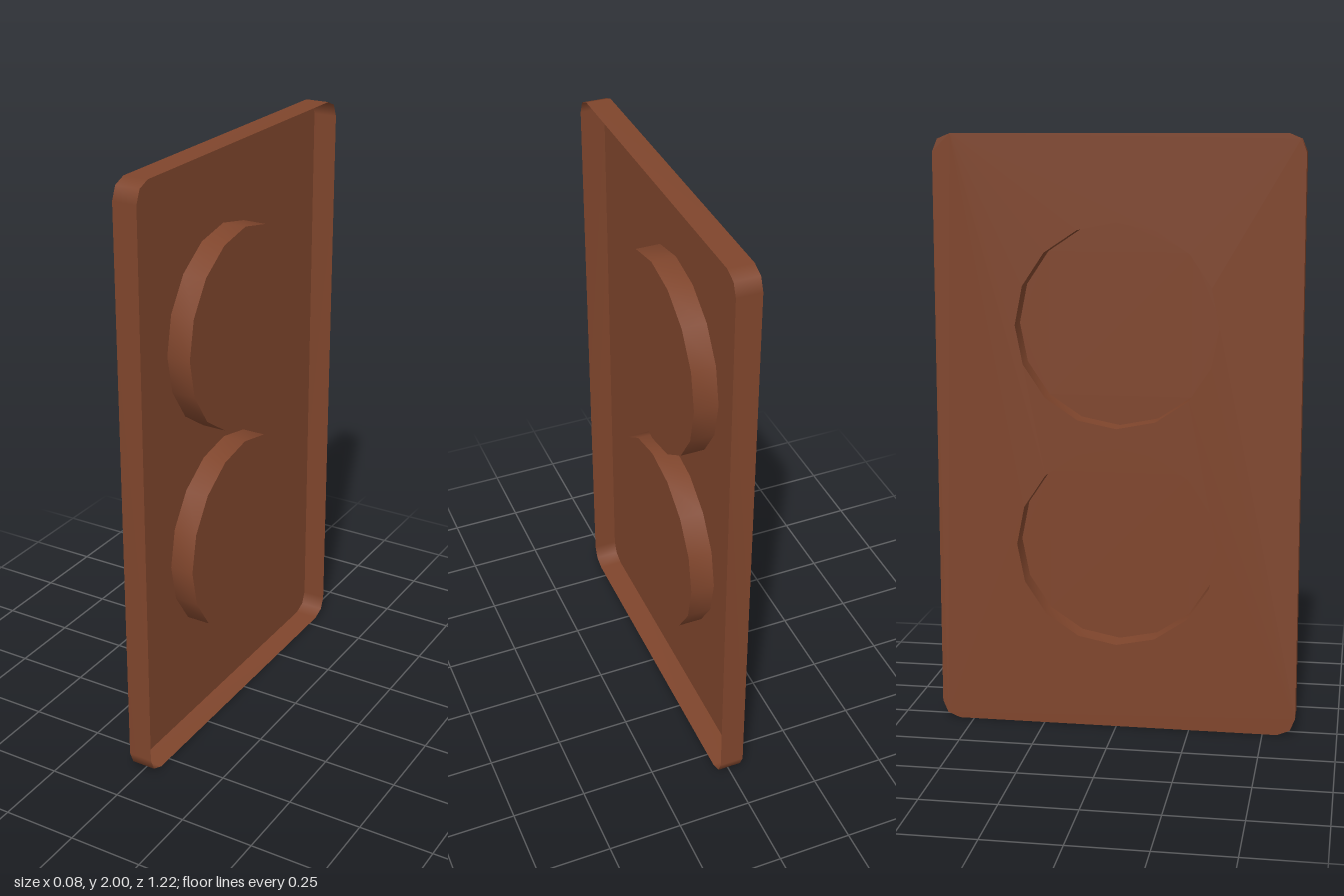
import * as THREE from 'three';

const HALF_T = 0.041; // half of the tray's depth
const HALF_W = 0.61, HEIGHT = 2, CORNER = 0.06;
const DISC_R = 0.34, DISC_SIDES = 16, DISC_Y = [1.375, 0.63];

// Points on an arc, counter-clockwise
function arc(cx, cy, r, start, sweep, count, segments) {
  return Array.from({ length: count }, (_, i) => {
    const a = start + (sweep * i) / segments;
    return new THREE.Vector2(cx + r * Math.cos(a), cy + r * Math.sin(a));
  });
}

// Smooth closed band that raises an outline from the back to the front
function wall(outline) {
  const n = outline.length, positions = [], index = [];
  outline.forEach((p, i) => {
    positions.push(p.x, p.y, -HALF_T, p.x, p.y, HALF_T);
    const a = 2 * i, b = 2 * ((i + 1) % n);
    index.push(a, b, b + 1, a, b + 1, a + 1);
  });
  const g = new THREE.BufferGeometry();
  g.setAttribute('position', new THREE.Float32BufferAttribute(positions, 3));
  g.setIndex(index);
  g.computeVertexNormals();
  return g;
}

export function createModel() {
  const model = new THREE.Group();
  model.name = 'formedTray';
  const material = new THREE.MeshStandardMaterial({ color: 0x7f452c, side: THREE.DoubleSide });
  const add = (geometry, name, z = 0) => {
    geometry.translate(0, 0, z);
    geometry.rotateY(Math.PI / 2); // turn the open side to +x
    const mesh = new THREE.Mesh(geometry, material);
    mesh.name = name;
    model.add(mesh);
  };

  // Rounded rectangle with two segments per corner
  const dx = HALF_W - CORNER;
  const corners = [[dx, HEIGHT - CORNER], [-dx, HEIGHT - CORNER], [-dx, CORNER], [dx, CORNER]];
  const outline = corners.flatMap(([x, y], i) => arc(x, y, CORNER, (i * Math.PI) / 2, Math.PI / 2, 3, 2));
  const circles = DISC_Y.map((y) => arc(0, y, DISC_R, 0, Math.PI * 2, DISC_SIDES, DISC_SIDES));

  // Back sheet, open behind each raised disc
  const sheet = new THREE.Shape(outline);
  circles.forEach((c) => sheet.holes.push(new THREE.Path(c)));
  add(new THREE.ShapeGeometry(sheet), 'backSheet', -HALF_T);

  // Thin rim around the sheet
  add(wall(outline), 'rim');

  // Hollow raised discs, flush with the rim
  circles.forEach((c, i) => {
    const label = i === 0 ? 'upper' : 'lower';
    add(wall(c), label + 'DiscWall');
    add(new THREE.ShapeGeometry(new THREE.Shape(c)), label + 'DiscFace', HALF_T);
  });

  return model;
}
